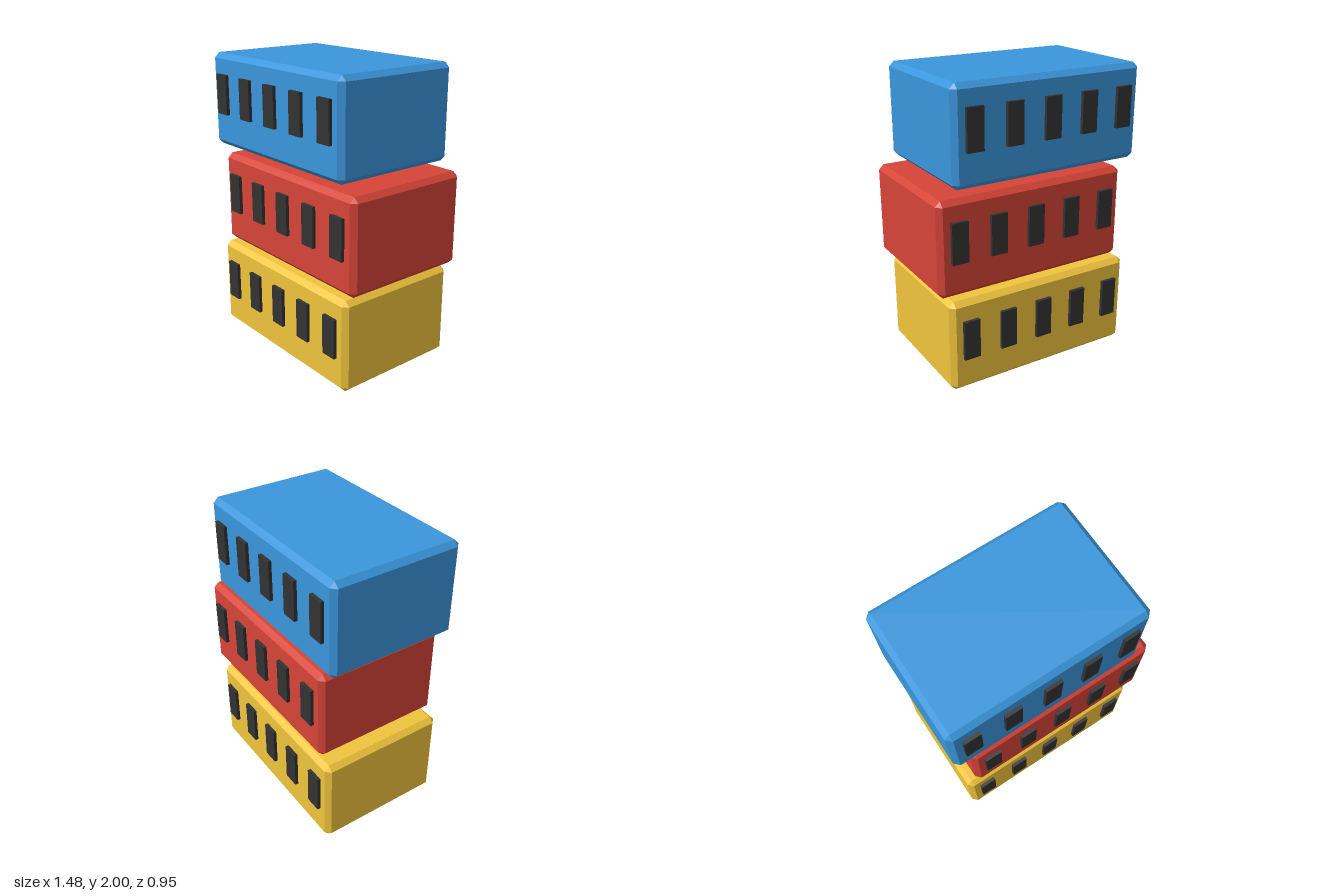
import * as THREE from 'three';
import { ConvexGeometry } from 'three/addons/geometries/ConvexGeometry.js';

const W = 1.366, H = 0.636, D = 0.907, CHAMFER = 0.034;
const PITCH = 0.682; // vertical distance between stacked blocks

// Box with every edge and corner cut flat
function chamferedBox(w, h, d, c) {
  const points = [];
  for (const x of [-w / 2, w / 2])
    for (const y of [-h / 2, h / 2])
      for (const z of [-d / 2, d / 2]) {
        const ix = x - Math.sign(x) * c, iy = y - Math.sign(y) * c, iz = z - Math.sign(z) * c;
        points.push(
          new THREE.Vector3(x, iy, iz),
          new THREE.Vector3(ix, y, iz),
          new THREE.Vector3(ix, iy, z)
        );
      }
  return new ConvexGeometry(points);
}

export function createModel() {
  const model = new THREE.Group();
  model.name = 'stackedBlocks';

  const bodyGeometry = chamferedBox(W, H, D, CHAMFER);
  const windowGeometry = new THREE.BoxGeometry(0.113, 0.27, 0.046);
  const windowMaterial = new THREE.MeshStandardMaterial({ color: 0x333333 });

  // Storeys from bottom to top, each shifted sideways
  const storeys = [
    { name: 'yellowBlock', color: 0xf0c43c, x: -0.016 },
    { name: 'redBlock', color: 0xd64437, x: 0.054 },
    { name: 'blueBlock', color: 0x3a96dc, x: -0.06 },
  ];

  storeys.forEach(({ name, color, x }, level) => {
    const storey = new THREE.Group();
    storey.name = name;
    storey.position.set(x, H / 2 + level * PITCH, 0);

    const body = new THREE.Mesh(
      bodyGeometry,
      new THREE.MeshStandardMaterial({ color, flatShading: true })
    );
    body.name = 'body';
    storey.add(body);

    // Five windows on the front and five on the back
    for (const side of [1, -1])
      for (let i = -2; i <= 2; i++) {
        const pane = new THREE.Mesh(windowGeometry, windowMaterial);
        pane.name = side > 0 ? 'frontWindow' : 'backWindow';
        pane.position.set(i * W / 5, 0.046, side * D / 2);
        storey.add(pane);
      }
    model.add(storey);
  });

  return model;
}
